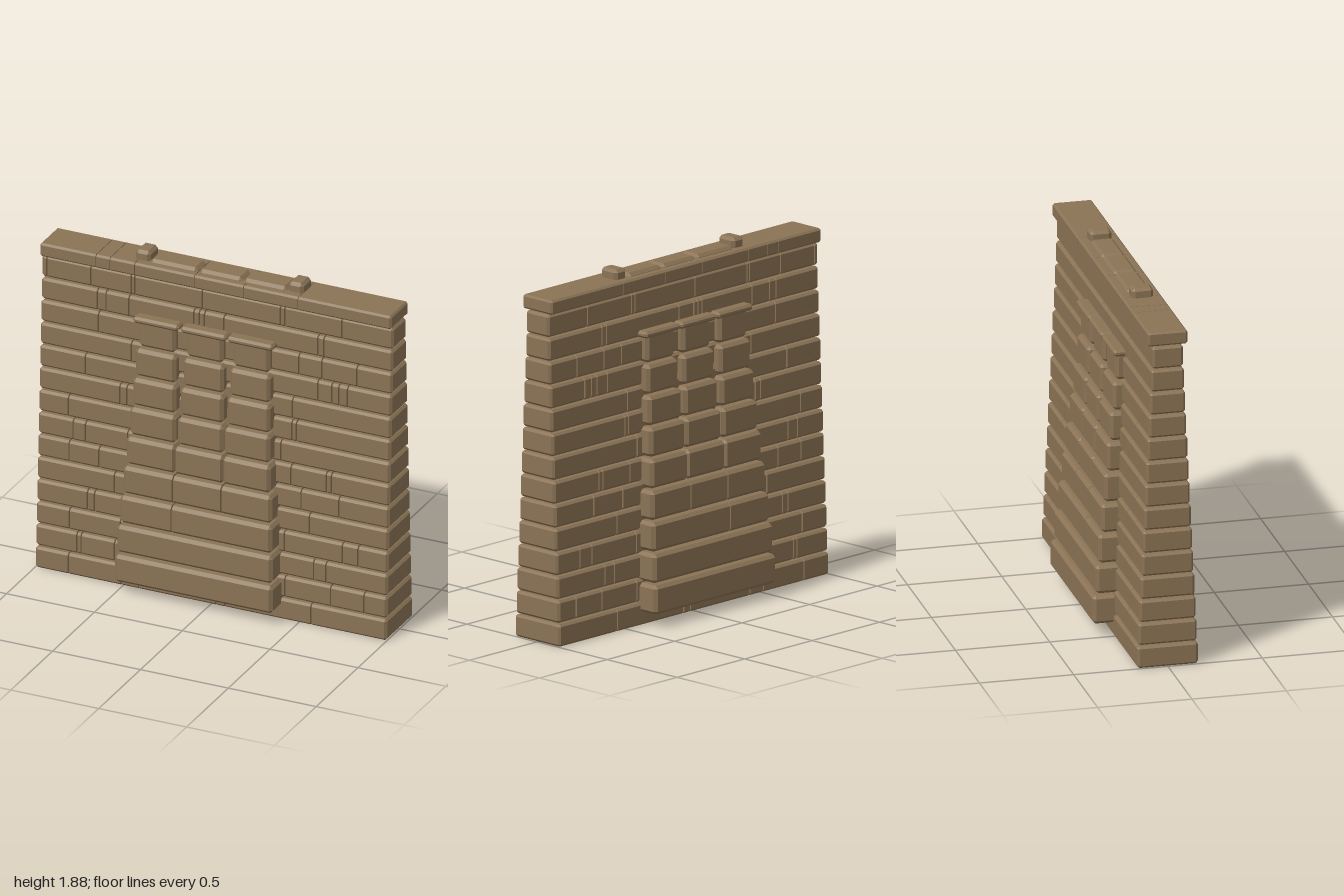
import * as THREE from 'three';
import { ConvexGeometry } from 'three/addons/geometries/ConvexGeometry.js';

const stone = new THREE.MeshStandardMaterial({ color: 0x8b7355 });
stone.name = 'brown stone';

// Chamfered block, centred on z = 0; the bevel of each x end can differ
function block(name, x0, x1, y0, y1, halfDepth, bevel, bevelL = bevel, bevelR = bevel) {
  const pts = [];
  for (const [x, dx] of [[x0, bevelL], [x1, -bevelR]])
    for (const [y, dy] of [[y0, bevel], [y1, -bevel]])
      for (const s of [-1, 1]) {
        const z = s * halfDepth, dz = -s * bevel;
        pts.push(
          new THREE.Vector3(x, y + dy, z + dz),
          new THREE.Vector3(x + dx, y, z + dz),
          new THREE.Vector3(x + dx, y + dy, z));
      }
  const mesh = new THREE.Mesh(new ConvexGeometry(pts), stone);
  mesh.name = name;
  return mesh;
}

// Row of blocks touching at fine joints
function row(name, xs, y0, y1, halfDepth, bevel, joint) {
  const g = new THREE.Group();
  g.name = name;
  for (let i = 0; i < xs.length - 1; i++) {
    g.add(block('brick', xs[i], xs[i + 1], y0, y1, halfDepth, bevel,
      i === 0 ? bevel : joint, i === xs.length - 2 ? bevel : joint));
  }
  return g;
}

// Joint positions of each wall course, from the ground up
const joints = [
  [-0.81, -0.51, -0.41, 0.03, 0.08, 0.57],
  [-0.765, -0.74, -0.55, 0.42, 0.68, 0.87],
  [-0.81, -0.52, 0.58, 0.65],
  [-0.71, -0.67, 0.41, 0.74, 0.83],
  [-0.56, 0.55],
  [-0.82, -0.65, 0.5, 0.715],
  [-0.8, -0.73, -0.49, 0.44, 0.64, 0.67],
  [-0.83, 0.38],
  [-0.54, -0.5, 0.44, 0.465],
  [-0.74, 0.44],
  [-0.48, 0.58, 0.66, 0.7, 0.75],
  [-0.67, 0.47, 0.6, 0.8],
  [-0.68, -0.63, -0.5, -0.13, -0.1, -0.07, 0.04, 0.575, 0.61],
  [-0.97, -0.72, -0.49, -0.47, -0.085, 0.36, 0.385, 0.71],
];

export function createModel() {
  const model = new THREE.Group();
  model.name = 'stone wall';

  // Wall courses, each a little thinner than the one below
  joints.forEach((js, i) => {
    const y = i * 0.1257;
    model.add(row('wallCourse', [-1, ...js, 1], y, y + 0.118, 0.161 - 0.0061 * i, 0.012, 0.004));
  });

  // Overhanging coping course
  model.add(row('coping', [-1, -0.68, -0.6, -0.46, -0.12, 0.16, 0.47, 1], 1.758, 1.833, 0.105, 0.01, 0.002));

  // Lower buttress tiers, passing through the wall to both faces
  const lower = [
    [-0.5, 0.4],
    [-0.495, 0.39],
    [-0.485, -0.19, 0.38],
    [-0.475, -0.19, 0.085, 0.37],
    [-0.465, -0.19, 0.085, 0.355],
  ];
  const tierY = (i) => 0.072 + i * 0.1627;
  const tierDepth = (i) => 0.27 - i * 0.0175;
  lower.forEach((xs, i) => {
    model.add(row('buttressTier', xs, tierY(i), tierY(i) + 0.154, tierDepth(i), 0.017, i < 4 ? 0.004 : 0.012));
  });

  // Three tapering piers above, each with a flat cap
  for (const cx of [-0.323, -0.052, 0.213]) {
    const pier = new THREE.Group();
    pier.name = 'pier';
    [0.131, 0.123, 0.115, 0.105].forEach((w, k) => {
      const i = k + 5;
      pier.add(block('pierBlock', cx - w, cx + w, tierY(i), tierY(i) + 0.154, tierDepth(i), 0.017));
    });
    pier.add(block('pierCap', cx - 0.13, cx + 0.13, 1.51, 1.545, 0.147, 0.012));
    model.add(pier);
  }

  // Low ridge stones on the coping, between two small posts
  for (const [a, b] of [[-0.395, -0.125], [-0.115, 0.13], [0.138, 0.383]])
    model.add(block('ridgeStone', a, b, 1.765, 1.851, 0.062, 0.016));
  for (const [a, b] of [[-0.48, -0.395], [0.39, 0.475]])
    model.add(block('ridgePost', a, b, 1.765, 1.885, 0.057, 0.016));

  return model;
}
